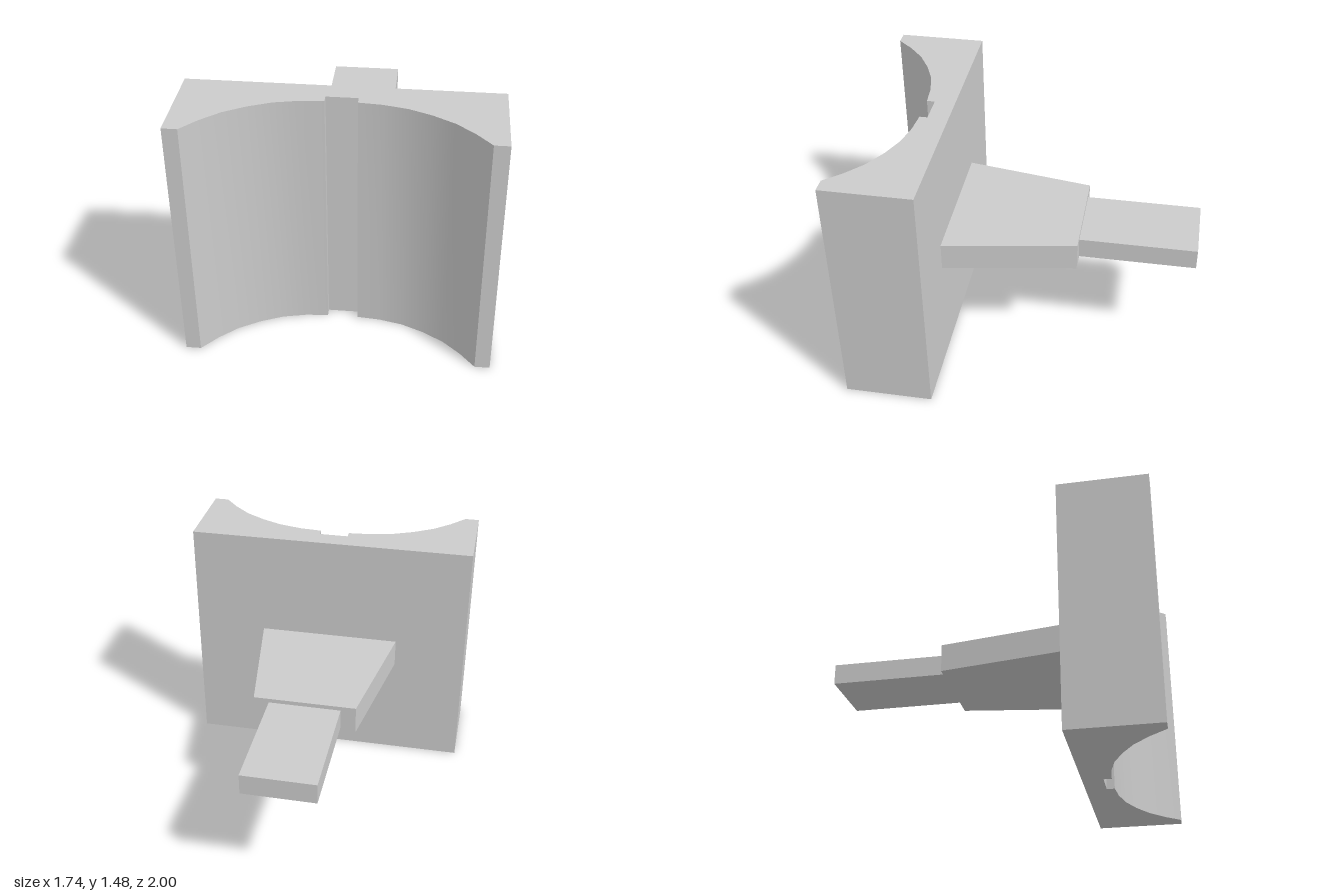
import * as THREE from 'three';
import { toCreasedNormals } from 'three/addons/utils/BufferGeometryUtils.js';

const material = new THREE.MeshStandardMaterial({ color: 0xcccccc });

// Raises a left-right symmetric plan outline; half lists [x, z] from back to front.
function raisedPlan(name, half, bottom, top) {
  const mirrored = half.map(([x, z]) => [-x, z]).reverse();
  const outline = [...half, ...mirrored].map(([x, z]) => new THREE.Vector2(x, -z));
  const geometry = new THREE.ExtrudeGeometry(new THREE.Shape(outline), {
    depth: top - bottom,
    bevelEnabled: false,
  });
  geometry.rotateX(-Math.PI / 2);
  geometry.translate(0, bottom, 0);
  const mesh = new THREE.Mesh(toCreasedNormals(geometry, 0.5), material);
  mesh.name = name;
  return mesh;
}

export function createModel() {
  const group = new THREE.Group();
  group.name = 'concaveBlockWithTongue';

  // Upright block with a hollow front face and a shallow central groove
  const hollow = [
    [0.785, 1], [0.7, 0.903], [0.6, 0.814], [0.48, 0.743],
    [0.355, 0.69], [0.22, 0.66], [0.088, 0.649],
  ];
  group.add(raisedPlan('concaveBlock',
    [[0.87, 0.48], [0.87, 1], ...hollow, [0.088, 0.602]], 0, 1.48));

  // Tapered arm behind the block
  group.add(raisedPlan('taperedArm', [[0.305, -0.305], [0.433, 0.48]], 0.66, 0.83));

  // Flat tongue at the back
  group.add(raisedPlan('tongue', [[0.215, -1], [0.215, -0.305]], 0.68, 0.805));

  return group;
}
